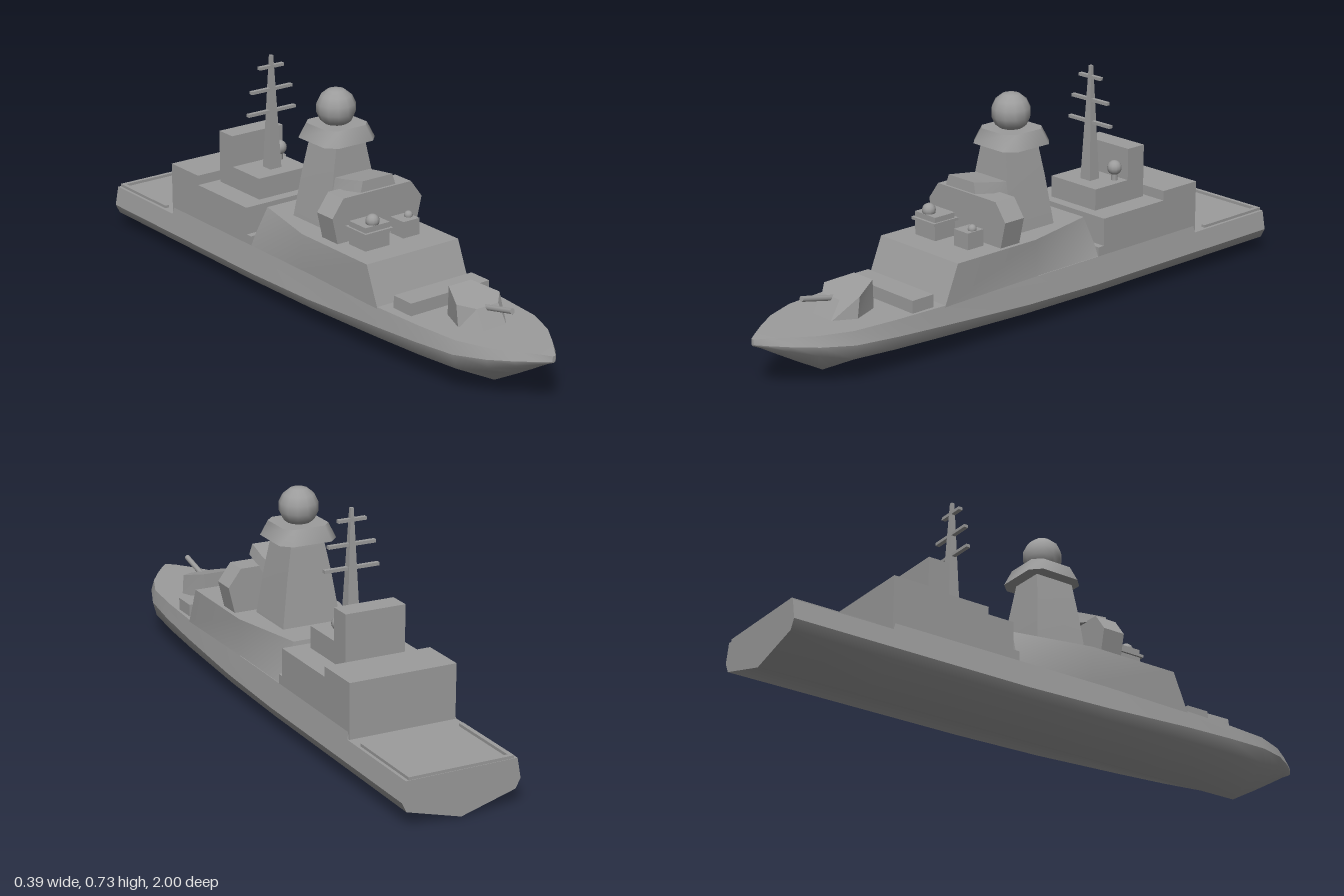
import * as THREE from 'three';
import { toCreasedNormals } from 'three/addons/utils/BufferGeometryUtils.js';

const material = new THREE.MeshStandardMaterial({ color: 0x9c9c9c });

// Skin a stack of closed rings of [x, y, z] points and cap both ends
function loft(rings, crease = 0.2) {
  const n = rings[0].length, last = (rings.length - 1) * n;
  const points = rings.flat().map((p) => new THREE.Vector3(...p));
  const index = [];
  for (let r = 0; r < rings.length - 1; r++) {
    for (let i = 0; i < n; i++) {
      const a = r * n + i, b = r * n + (i + 1) % n;
      index.push(a, b, b + n, a, b + n, a + n);
    }
  }
  for (let i = 1; i < n - 1; i++) {
    index.push(0, i + 1, i, last, last + i, last + i + 1);
  }
  // Turn the faces outward if the enclosed volume comes out negative
  let volume = 0;
  const cross = new THREE.Vector3();
  for (let i = 0; i < index.length; i += 3) {
    volume += points[index[i]].dot(cross.crossVectors(points[index[i + 1]], points[index[i + 2]]));
  }
  if (volume < 0) index.reverse();
  const geo = new THREE.BufferGeometry().setFromPoints(points);
  geo.setIndex(index);
  return toCreasedNormals(geo, crease);
}

// Mirror a half outline of [x, z] into a full horizontal ring at height y
function ring(y, half) {
  const right = half.map(([x, z]) => [x, y, z]);
  const left = half.map(([x, z]) => [-x, y, z]).reverse();
  return [...right, ...left];
}

export function createModel() {
  const ship = new THREE.Group();
  ship.name = 'warship';

  const add = (name, geo, x = 0, y = 0, z = 0) => {
    const mesh = new THREE.Mesh(geo, material);
    mesh.name = name;
    mesh.position.set(x, y, z);
    ship.add(mesh);
    return mesh;
  };
  // Box given by its extents on each axis
  const box = (name, x0, x1, y0, y1, z0, z1) =>
    add(name, new THREE.BoxGeometry(x1 - x0, y1 - y0, z1 - z0), (x0 + x1) / 2, (y0 + y1) / 2, (z0 + z1) / 2);
  const ball = (name, r, x, y, z, across = 12, up = 8) =>
    add(name, new THREE.SphereGeometry(r, across, up), x, y, z);
  // Round bar between two points
  const bar = (name, a, b, r) => {
    const from = new THREE.Vector3(...a), to = new THREE.Vector3(...b);
    const mesh = add(name, new THREE.CylinderGeometry(r, r, from.distanceTo(to), 8));
    mesh.position.copy(from).lerp(to, 0.5);
    mesh.quaternion.setFromUnitVectors(new THREE.Vector3(0, 1, 0), to.sub(from).normalize());
  };

  // Hull stations: z, keel height, deck half width, deck height, chine half width, chine height
  const stations = [
    [1, 0.142, 0.005, 0.163, 0.006, 0.147],
    [0.97, 0.127, 0.028, 0.165, 0.036, 0.144],
    [0.92, 0.097, 0.066, 0.165, 0.077, 0.139],
    [0.85, 0.056, 0.113, 0.165, 0.123, 0.132],
    [0.75, 0, 0.152, 0.165, 0.162, 0.123],
    [0.6, 0, 0.167, 0.165, 0.177, 0.115],
    [0.42, 0, 0.176, 0.165, 0.186, 0.106],
    [0.1, 0, 0.177, 0.165, 0.192, 0.088],
    [-0.2, 0, 0.177, 0.165, 0.193, 0.08],
    [-0.66, 0, 0.177, 0.165, 0.193, 0.08],
    [-0.665, 0, 0.181, 0.143, 0.193, 0.08],
    [-1, 0, 0.181, 0.143, 0.193, 0.08],
  ];
  add('hullSides', loft(stations.map(([z, , dw, dy, cw, cy]) =>
    [[dw, dy, z], [cw, cy, z], [-cw, cy, z], [-dw, dy, z]]), 0.6));
  add('hullBottom', loft(stations.map(([z, keel, , , cw, cy]) => {
    const by = keel + (cy - keel) * 0.62, bw = cw * 0.92;
    return [[cw, cy, z], [bw, by, z], [0, keel, z], [-bw, by, z], [-cw, cy, z]];
  }), 1));

  // Flight deck edging
  for (const s of [-1, 1]) add('deckEdge', new THREE.BoxGeometry(0.014, 0.012, 0.275), s * 0.164, 0.146, -0.86);
  box('sternEdge', -0.17, 0.17, 0.14, 0.152, -0.998, -0.984);

  // Forward deckhouse with sloped front and rear corners blended inward
  add('forwardDeckhouse', loft([
    ring(0.16, [[0.177, 0.422], [0.177, 0.05], [0.177, -0.228]]),
    ring(0.285, [[0.177, 0.37], [0.177, 0.05], [0.12, -0.21]]),
  ], 0.6));
  box('midshipsStep', -0.177, 0.177, 0.15, 0.195, -0.25, -0.222);
  box('aftDeckhouse', -0.177, 0.177, 0.15, 0.285, -0.52, -0.245);
  box('hangar', -0.177, 0.177, 0.135, 0.317, -0.668, -0.515);

  // Bridge: faceted block across the deckhouse
  const bridge = [[-0.143, 0.283], [0.163, 0.283], [0.184, 0.37], [0.141, 0.427], [-0.121, 0.427], [-0.163, 0.37]];
  add('bridge', loft([0.185, 0.108].map((z) => bridge.map(([x, y]) => [x, y, z]))));
  // Bridge roof house reaching back into the tower
  add('bridgeRoof', loft([
    [[-0.067, 0.438, 0.2], [0.067, 0.438, 0.2], [0.057, 0.472, 0.197], [-0.057, 0.472, 0.197]],
    [[-0.077, 0.424, 0.11], [0.077, 0.424, 0.11], [0.067, 0.457, 0.11], [-0.067, 0.457, 0.11]],
    [[-0.079, 0.4, 0.05], [0.079, 0.4, 0.05], [0.068, 0.448, 0.05], [-0.068, 0.448, 0.05]],
  ]));

  // Radar tower, flared collar and dome
  add('radarTower', loft([
    ring(0.28, [[0.1, 0.086], [0.1, -0.1]]),
    ring(0.44, [[0.076, 0.074], [0.076, -0.083]]),
    ring(0.55, [[0.055, 0.064], [0.055, -0.07]]),
  ], 0.3));
  const collar = (y, r, c) => ring(y, [[c, r], [r, c], [r, -c], [c, -r]].map(([x, z]) => [x, z - 0.01]));
  add('towerCollar', loft([collar(0.547, 0.098, 0.066), collar(0.595, 0.078, 0.052)], 0.9), 0.002);
  ball('radarDome', 0.063, 0, 0.644, -0.01, 12, 7);

  // Sensors on the deckhouse ahead of the bridge
  box('rightSensorBase', -0.115, -0.022, 0.28, 0.36, 0.205, 0.285);
  box('rightSensorLedge', -0.122, -0.016, 0.334, 0.343, 0.195, 0.294);
  ball('rightSensorBall', 0.022, -0.073, 0.369, 0.265);
  box('leftSensorBase', 0.045, 0.108, 0.28, 0.338, 0.205, 0.268);
  ball('leftSensorBall', 0.014, 0.091, 0.342, 0.235);

  // Aft mast platform, funnel block and sensor ball
  box('mastPlatform', -0.1, 0.1, 0.28, 0.355, -0.5, -0.282);
  box('funnel', -0.1, 0.1, 0.35, 0.459, -0.5, -0.428);
  ball('aftSensorBall', 0.024, 0.067, 0.396, -0.4);
  bar('aftSensorStem', [0.067, 0.35, -0.4], [0.067, 0.385, -0.4], 0.011);

  // Tapered pole mast with cross yards
  add('poleMast', loft([
    ring(0.35, [[0.022, -0.332], [0.022, -0.374]]),
    ring(0.64, [[0.009, -0.344], [0.009, -0.362]]),
    ring(0.73, [[0.005, -0.348], [0.005, -0.358]]),
  ]), 0.003);
  for (const [y, w] of [[0.545, 0.09], [0.618, 0.077], [0.693, 0.045]]) {
    box('mastYard', -w, w + 0.004, y - 0.005, y + 0.005, -0.36, -0.346);
  }

  // Foredeck launcher and gun
  box('launcherBlock', -0.141, 0.161, 0.16, 0.205, 0.454, 0.535);
  const turret = [[0.043, 0.75], [0.083, 0.68], [0.046, 0.588]];
  const roof = ring(0, [[0.041, 0.712], [0.083, 0.67], [0.043, 0.588]])
    .map(([x, , z]) => [x, 0.221 + (0.712 - z) * 0.26, z]);
  add('gunTurret', loft([ring(0.16, turret), roof]));
  bar('gunBarrel', [0, 0.205, 0.66], [0, 0.24, 0.82], 0.009);

  return ship;
}
